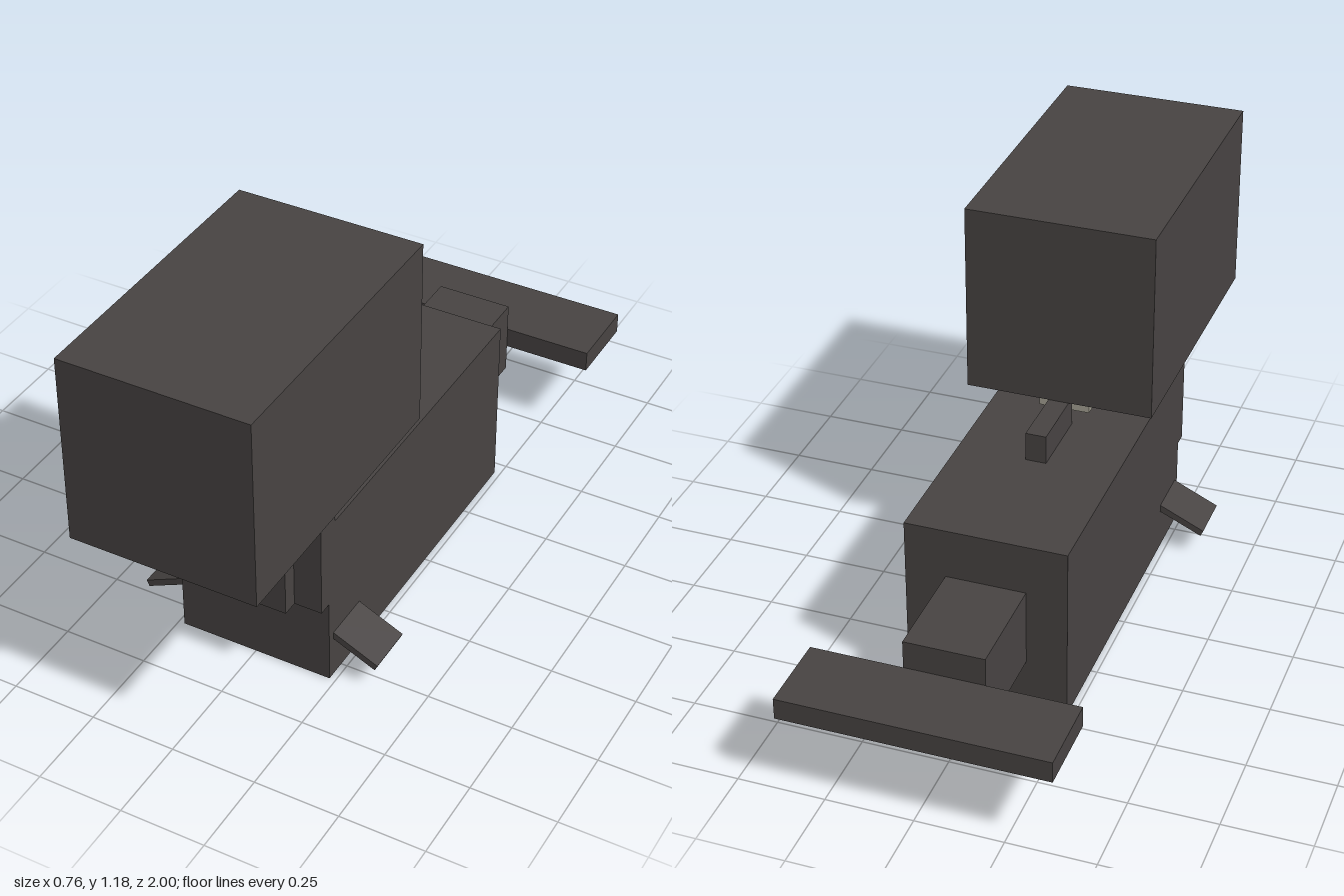
import * as THREE from 'three';

export function createModel() {
  const model = new THREE.Group();
  model.name = 'blockWhale';

  const skin = new THREE.MeshStandardMaterial({ color: 0x484443 });
  skin.name = 'charcoalSkin';
  const pale = new THREE.MeshStandardMaterial({ color: 0xa6a294 });
  pale.name = 'paleJaw';

  // Box given by its [min, max] extent on each axis
  const block = (name, [x0, x1], [y0, y1], [z0, z1], material = skin) => {
    const mesh = new THREE.Mesh(new THREE.BoxGeometry(x1 - x0, y1 - y0, z1 - z0), material);
    mesh.position.set((x0 + x1) / 2, (y0 + y1) / 2, (z0 + z1) / 2);
    mesh.name = name;
    model.add(mesh);
    return mesh;
  };

  // Head, and the pale jaw strip beneath it
  block('head', [-0.274, 0.274], [0.616, 1.176], [0.134, 1]);
  block('jaw', [-0.074, 0.074], [0.563, 0.616], [0.185, 0.893], pale);

  // Body and neck
  block('body', [-0.232, 0.232], [0, 0.53], [-0.458, 0.566]);
  block('neck', [-0.149, 0.149], [0.267, 0.616], [0.487, 0.652]);

  // Back fin, tail and fluke
  block('backFin', [-0.03, 0.03], [0.53, 0.616], [-0.056, 0.165]);
  block('tail', [-0.115, 0.115], [0.153, 0.382], [-0.766, -0.458]);
  block('fluke', [-0.38, 0.38], [0.235, 0.298], [-1, -0.766]);

  // Mirrored neck sides and drooping flippers
  for (const [side, s] of [['left', 1], ['right', -1]]) {
    const xs = [0.149 * s, 0.232 * s].sort((a, b) => a - b);
    block(side + 'NeckSide', xs, [0.267, 0.616], [0.53, 0.606]);

    const flipper = block(side + 'Flipper', [-0.1, 0.1], [-0.01, 0.01], [0.397, 0.543]);
    flipper.position.x = 0.272 * s;
    flipper.position.y = 0.119;
    flipper.rotation.z = -s * THREE.MathUtils.degToRad(25);
  }

  return model;
}
